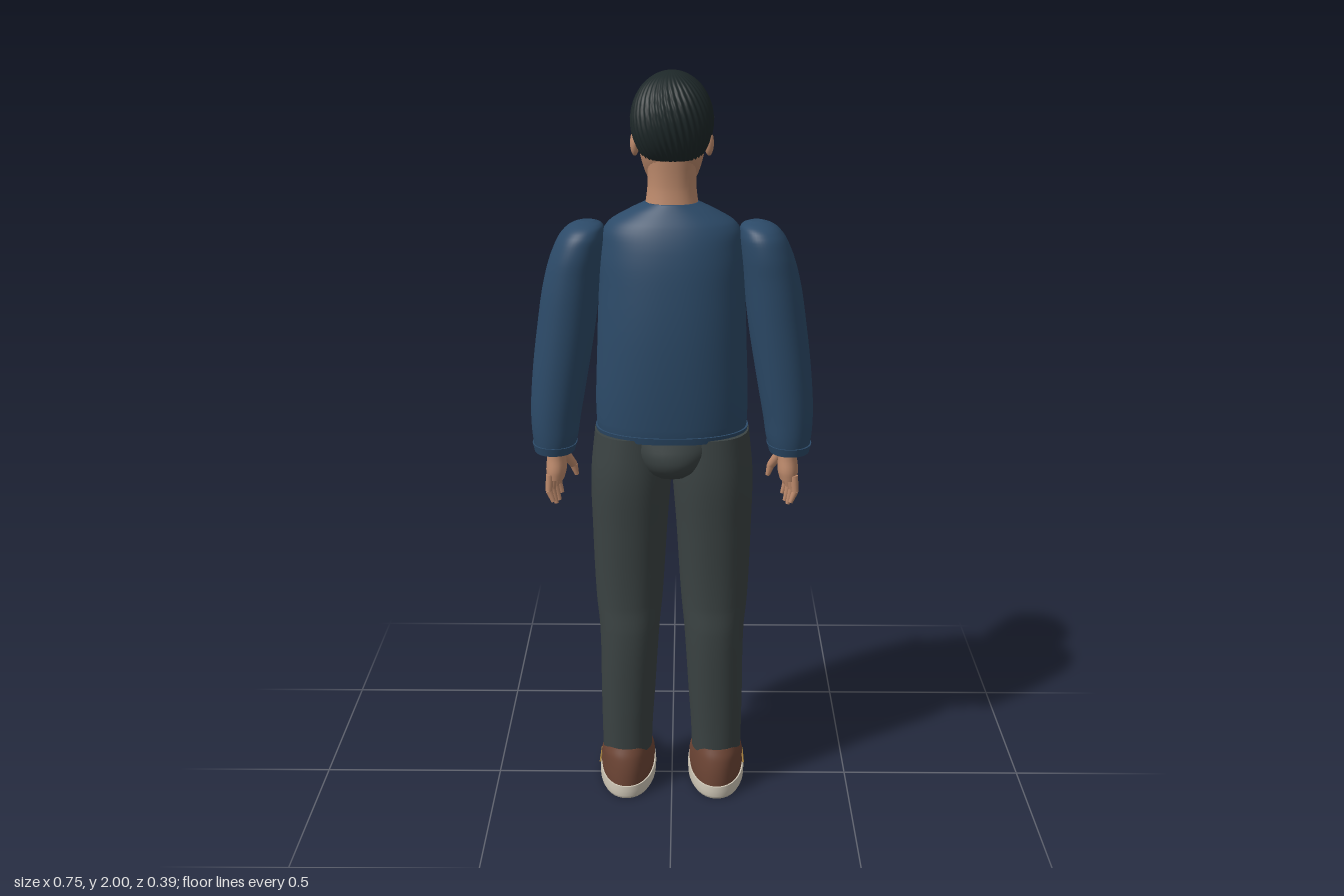
import * as THREE from 'three';
import { RoundedBoxGeometry } from 'three/addons/geometries/RoundedBoxGeometry.js';

const mat = (name, color, side = THREE.FrontSide) =>
  Object.assign(new THREE.MeshStandardMaterial({ color, side }), { name });
const M = {
  denim: mat('denim blue', 0x2c4a68), cloth: mat('charcoal cloth', 0x3b4343),
  hair: mat('black hair', 0x1d2728, THREE.DoubleSide), skin: mat('skin', 0xbd8a6c),
  leather: mat('brown leather', 0x6d4535), sole: mat('cream sole', 0xcdc5b5),
  shirt: mat('white shirt', 0xd3dae0), thread: mat('gold thread', 0xa5803f),
  metal: mat('grey metal', 0x858b8b), lips: mat('lips', 0x96584c),
};
const V = (x, y, z) => new THREE.Vector3(x, y, z);

function add(parent, name, geometry, material, x = 0, y = 0, z = 0) {
  const mesh = new THREE.Mesh(geometry, material);
  mesh.name = name;
  mesh.position.set(x, y, z);
  parent.add(mesh);
  return mesh;
}

function geometryFrom(pos, idx) {
  const g = new THREE.BufferGeometry();
  g.setAttribute('position', new THREE.Float32BufferAttribute(pos, 3));
  g.setIndex(idx);
  g.computeVertexNormals();
  return g;
}

// A body is a stack of sections [y, xMin, xMax, zFront, zBack], smoothed along y
function body(rows, p = 2.2) {
  const spline = new THREE.CubicInterpolant(
    new Float32Array(rows.map(r => r[0])), new Float32Array(rows.flatMap(r => r.slice(1))), 4);
  const at = y => {
    const [a, b, c, d] = spline.evaluate(y);
    return { cx: (a + b) / 2, rx: (b - a) / 2, cz: (c + d) / 2, rz: (d - c) / 2 };
  };
  const front = (x, y) => {
    const s = at(y), t = Math.min(1, Math.abs((x - s.cx) / s.rx));
    return s.cz - s.rz * Math.pow(1 - Math.pow(t, p), 1 / p);
  };
  return { rows, p, at, front };
}
const symmetric = rows => rows.map(([y, w, z0, z1]) => [y, -w, w, z0, z1]);
const sided = (rows, s) => rows.map(([y, a, b, z0, z1]) => s > 0 ? [y, a, b, z0, z1] : [y, -b, -a, z0, z1]);

function loft({ rows, p, at }, n = 48, sub = 4) {
  const ys = [rows[0][0]];
  for (let i = 1; i < rows.length; i++)
    for (let k = 1; k <= sub; k++) ys.push(THREE.MathUtils.lerp(rows[i - 1][0], rows[i][0], k / sub));
  const pos = [], idx = [], e = 2 / p;
  const ring = y => {
    const s = at(y);
    for (let j = 0; j < n; j++) {
      const c = Math.cos(j / n * Math.PI * 2), d = Math.sin(j / n * Math.PI * 2);
      pos.push(s.cx + s.rx * Math.sign(c) * Math.abs(c) ** e, y, s.cz + s.rz * Math.sign(d) * Math.abs(d) ** e);
    }
  };
  ys.forEach(ring);
  for (let i = 0; i < ys.length - 1; i++) for (let j = 0; j < n; j++) {
    const a = i * n + j, b = i * n + (j + 1) % n;
    idx.push(a, a + n, b, b, a + n, b + n);
  }
  // end caps
  for (const top of [false, true]) {
    const y = ys[top ? ys.length - 1 : 0], s = at(y), base = pos.length / 3;
    ring(y);
    pos.push(s.cx, y, s.cz);
    for (let j = 0; j < n; j++) {
      const a = base + j, b = base + (j + 1) % n;
      idx.push(base + n, top ? b : a, top ? a : b);
    }
  }
  return geometryFrom(pos, idx);
}

// Thin plate laid on the front of a body; corners run anticlockwise in (x, y)
function patch(b, [p0, p1, p2, p3], off, n = 14) {
  const pos = [], idx = [];
  const mix = (a, c, t) => [a[0] + (c[0] - a[0]) * t, a[1] + (c[1] - a[1]) * t];
  for (let i = 0; i <= n; i++) for (let j = 0; j <= n; j++) {
    const [x, y] = mix(mix(p0, p1, j / n), mix(p3, p2, j / n), i / n);
    pos.push(x, y, b.front(x, y) - off);
    if (i < n && j < n) {
      const a = i * (n + 1) + j, c = a + n + 1;
      idx.push(a, c, a + 1, a + 1, c, c + 1);
    }
  }
  return geometryFrom(pos, idx);
}
function stroke(b, p, q, w, off) {
  const dx = q[0] - p[0], dy = q[1] - p[1], k = w / 2 / Math.hypot(dx, dy), nx = -dy * k, ny = dx * k;
  return patch(b, [[p[0] - nx, p[1] - ny], [q[0] - nx, q[1] - ny], [q[0] + nx, q[1] + ny], [p[0] + nx, p[1] + ny]], off);
}

// Tapered rod between two points
function rod(parent, name, a, b, r1, r2, material) {
  const d = b.clone().sub(a), mid = a.clone().add(b).multiplyScalar(0.5);
  const m = add(parent, name, new THREE.CylinderGeometry(r2, r1, d.length(), 10), material, mid.x, mid.y, mid.z);
  m.quaternion.setFromUnitVectors(V(0, 1, 0), d.normalize());
}

// Ribbed cap of hair swirling out from the crown, longer at the back
function hairGeometry(n = 192, m = 30) {
  const pos = [], idx = [];
  for (let i = 0; i <= m; i++) for (let j = 0; j < n; j++) {
    const t = j / n * Math.PI * 2, v = i / m;
    const edge = 1.785 + 0.095 * THREE.MathUtils.smoothstep(-Math.sin(t), 0.1, 0.75);
    const phi = v * Math.acos((edge - 1.875) / 0.125);
    const r = Math.sin(phi) * (1 + 0.022 * Math.cos(38 * (t + v * 0.7)) * Math.min(1, v * 3));
    pos.push(0.104 * r * Math.cos(t), 1.875 + 0.125 * Math.cos(phi), 0.028 + 0.128 * r * Math.sin(t));
    if (i < m) {
      const a = i * n + j, b = i * n + (j + 1) % n;
      idx.push(a, b, a + n, b, b + n, a + n);
    }
  }
  return geometryFrom(pos, idx);
}

export function createModel() {
  const root = new THREE.Group();
  root.name = 'standingMan';

  // Jacket and hips
  const torso = body(symmetric([[1.06, .195, -.094, .175], [1.1, .2, -.1, .181], [1.3, .196, -.114, .191],
    [1.45, .19, -.116, .184], [1.56, .184, -.102, .168], [1.62, .165, -.07, .147],
    [1.655, .11, -.03, .125], [1.675, .068, -.012, .112]]), 2.2);
  add(root, 'jacket', loft(torso, 64, 5), M.denim);
  add(root, 'jacketHem', loft(body(symmetric([[1.062, .199, -.099, .18], [1.08, .203, -.102, .184]])), 48, 1), M.denim);
  add(root, 'hips', loft(body(symmetric([[.955, .065, -.06, .14], [.975, .09, -.09, .172],
    [1.01, .12, -.1, .188], [1.07, .18, -.092, .174]]))), M.cloth);

  // Jacket front
  const onChest = (name, a, b, w, off, m) => add(root, name, stroke(torso, a, b, w, off), m);
  add(root, 'shirtFront', patch(torso, [[-.01, 1.47], [.01, 1.47], [.06, 1.66], [-.06, 1.66]], .006, 20), M.shirt);
  onChest('frontSeam', [0, 1.08], [0, 1.47], .004, .005, M.hair);
  for (let i = 0; i < 5; i++) onChest('button', [.012, 1.13 + i * .075], [.022, 1.13 + i * .075], .01, .006, M.hair);
  for (const s of [-1, 1]) {
    const line = (name, a, b, w, off, m) => onChest(name, [s * a[0], a[1]], [s * b[0], b[1]], w, off, m);
    line('lapel', [.082, 1.635], [.03, 1.49], .036, .009, M.denim);
    line('lapelStitch', [.1, 1.61], [.055, 1.5], .004, .011, M.thread);
    line('lapelStitch', [.055, 1.5], [.018, 1.475], .004, .011, M.thread);
    line('collarStitch', [.1, 1.61], [.07, 1.645], .004, .011, M.thread);
    line('pocketFlap', [.06, 1.43], [.145, 1.43], .04, .006, M.denim);
    line('pocketStitch', [.06, 1.412], [.145, 1.412], .005, .008, M.thread);
    line('pocketTop', [.06, 1.45], [.145, 1.45], .004, .008, M.hair);
    line('sidePocket', [.09, 1.2], [.13, 1.14], .007, .005, M.hair);
  }

  // Shoulder strap and camera
  onChest('strap', [-.15, 1.56], [.175, 1.17], .03, .016, M.leather);
  onChest('strapUnderside', [-.15, 1.56], [.175, 1.17], .036, .01, M.leather);
  const camera = new THREE.Group();
  camera.name = 'camera';
  camera.position.set(-.05, 1.322, -.138);
  camera.rotation.y = -.08;
  root.add(camera);
  add(camera, 'cameraBody', new RoundedBoxGeometry(.15, .088, .044, 3, .012), M.cloth);
  add(camera, 'viewfinder', new RoundedBoxGeometry(.05, .024, .036, 2, .006), M.cloth, .005, .046, 0);
  add(camera, 'dial', new THREE.CylinderGeometry(.021, .021, .02, 24), M.metal, -.03, .05, .002);
  const barrel = (name, r, h, z, m) =>
    add(camera, name, new THREE.CylinderGeometry(r, r, h, 28), m, 0, 0, z).rotation.x = Math.PI / 2;
  barrel('lensRing', .036, .018, -.027, M.metal);
  barrel('lensBarrel', .029, .014, -.042, M.cloth);
  barrel('lensRim', .026, .01, -.051, M.cloth);
  barrel('lensGlass', .019, .002, -.0565, M.metal);

  for (const s of [-1, 1]) {
    // Sleeves
    const sleeve = body(sided([[1.005, .265, .364, -.03, .105], [1.03, .255, .37, -.036, .112],
      [1.1, .243, .375, -.045, .12], [1.2, .225, .37, -.05, .126], [1.35, .2, .352, -.055, .132],
      [1.48, .184, .33, -.056, .136], [1.56, .175, .304, -.05, .135], [1.6, .174, .28, -.034, .12],
      [1.618, .182, .256, -.008, .092], [1.625, .2, .235, .02, .062]], s), 2.1);
    add(root, 'sleeve', loft(sleeve), M.denim);
    add(root, 'cuff', loft(body(sided([[1.006, .26, .368, -.035, .11], [1.028, .253, .373, -.04, .116]], s)), 40, 1), M.denim);
    add(root, 'elbowCrease', stroke(sleeve, [s * .225, 1.31], [s * .335, 1.3], .005, .004), M.hair);

    // Hands
    add(root, 'hand', loft(body(sided([[.915, .292, .34, -.03, .048], [.94, .286, .342, -.036, .05],
      [.975, .288, .338, -.026, .045], [1.03, .294, .334, -.008, .044]], s)), 24), M.skin);
    for (let k = 0; k < 4; k++) {
      const a = V(s * (.303 + k * .009), .93, -.022 + k * .02);
      const b = V(s * (.312 + k * .007), .885, -.03 + k * .024);
      const c = V(s * (.303 + k * .006), k % 3 ? .842 : .855, -.03 + k * .025);
      rod(root, 'finger', a, b, .011, .0095, M.skin);
      rod(root, 'fingertip', b, c, .0095, .006, M.skin);
    }
    rod(root, 'thumb', V(s * .297, .98, -.015), V(s * .27, .935, -.034), .015, .011, M.skin);
    rod(root, 'thumbTip', V(s * .27, .935, -.034), V(s * .262, .905, -.036), .011, .006, M.skin);

    // Trouser legs
    const leg = body(sided([[.125, .057, .195, -.03, .124], [.2, .054, .196, -.031, .129], [.3, .047, .197, -.035, .136],
      [.5, .034, .199, -.046, .147], [.58, .026, .207, -.062, .143], [.8, .012, .215, -.08, .158],
      [.95, .001, .217, -.094, .171], [1.07, 0, .205, -.093, .168]], s), 2.2);
    add(root, 'trouserLeg', loft(leg), M.cloth);
    add(root, 'kneeCrease', stroke(leg, [s * .05, .575], [s * .19, .56], .006, .005), M.hair);

    // Shoes
    add(root, 'sole', loft(body(sided([[0, .052, .203, -.188, .148], [.008, .047, .207, -.194, .152],
      [.038, .048, .206, -.194, .152]], s), 2.15), 48, 2), M.sole);
    add(root, 'shoe', loft(body(sided([[.036, .052, .202, -.188, .147], [.058, .05, .204, -.182, .147],
      [.078, .052, .202, -.148, .146], [.1, .056, .199, -.098, .143], [.12, .06, .196, -.056, .138],
      [.142, .062, .192, -.034, .128]], s), 2.15)), M.leather);
    rod(root, 'shoeStitch', V(s * .2025, .085, .09), V(s * .2025, .068, -.02), .0025, .0025, M.thread);
  }

  // Neck and head
  add(root, 'neck', loft(body(symmetric([[1.62, .08, -.025, .115], [1.67, .068, -.022, .108],
    [1.72, .062, -.022, .104], [1.8, .064, -.02, .11]])), 32), M.skin);
  const head = body(symmetric([[1.686, .022, -.076, -.03], [1.695, .038, -.085, .0], [1.72, .058, -.09, .055],
    [1.76, .074, -.091, .095], [1.81, .085, -.09, .118], [1.86, .09, -.092, .128],
    [1.91, .086, -.086, .126], [1.95, .068, -.06, .1]]), 2.2);
  add(root, 'head', loft(head), M.skin);
  rod(root, 'nose', V(0, 1.838, -.088), V(0, 1.787, -.1), .006, .014, M.skin);
  add(root, 'noseTip', new THREE.SphereGeometry(.0125, 16, 12), M.skin, 0, 1.788, -.1);
  add(root, 'mouth', stroke(head, [-.024, 1.749], [.024, 1.749], .011, .004), M.lips);
  add(root, 'mouthLine', stroke(head, [-.024, 1.75], [.024, 1.75], .002, .0055), M.hair);
  for (const s of [-1, 1]) {
    add(root, 'eyeWhite', stroke(head, [s * .02, 1.821], [s * .05, 1.823], .011, .003), M.shirt);
    add(root, 'iris', stroke(head, [s * .03, 1.822], [s * .041, 1.822], .011, .005), M.hair);
    add(root, 'upperLid', stroke(head, [s * .018, 1.826], [s * .053, 1.83], .004, .006), M.hair);
    add(root, 'eyebrow', stroke(head, [s * .015, 1.842], [s * .057, 1.85], .008, .004), M.hair);
    add(root, 'ear', new THREE.SphereGeometry(1, 16, 12), M.skin, s * .094, 1.82, .035).scale.set(.012, .032, .02);
  }

  // Hair with a fringe that falls longer on one side
  add(root, 'hair', hairGeometry(), M.hair);
  for (let k = 0; k < 10; k++) {
    const x = -.085 + k * .02, drop = k < 4 ? .03 * (3 - k) / 3 : .085 * (k - 3) / 6;
    const z = t => .03 - .128 * Math.sqrt(Math.max(.08, 1 - (t / .11) ** 2));
    rod(root, 'fringeLock', V(x * .85, 1.91, z(x * .85) + .006), V(x + .006, 1.868 - drop, z(x)), .017, .002, M.hair);
  }
  for (const s of [-1, 1])
    rod(root, 'sideLock', V(s * .092, 1.88, -.01), V(s * .089, 1.8, -.03), .016, .002, M.hair);
  return root;
}
